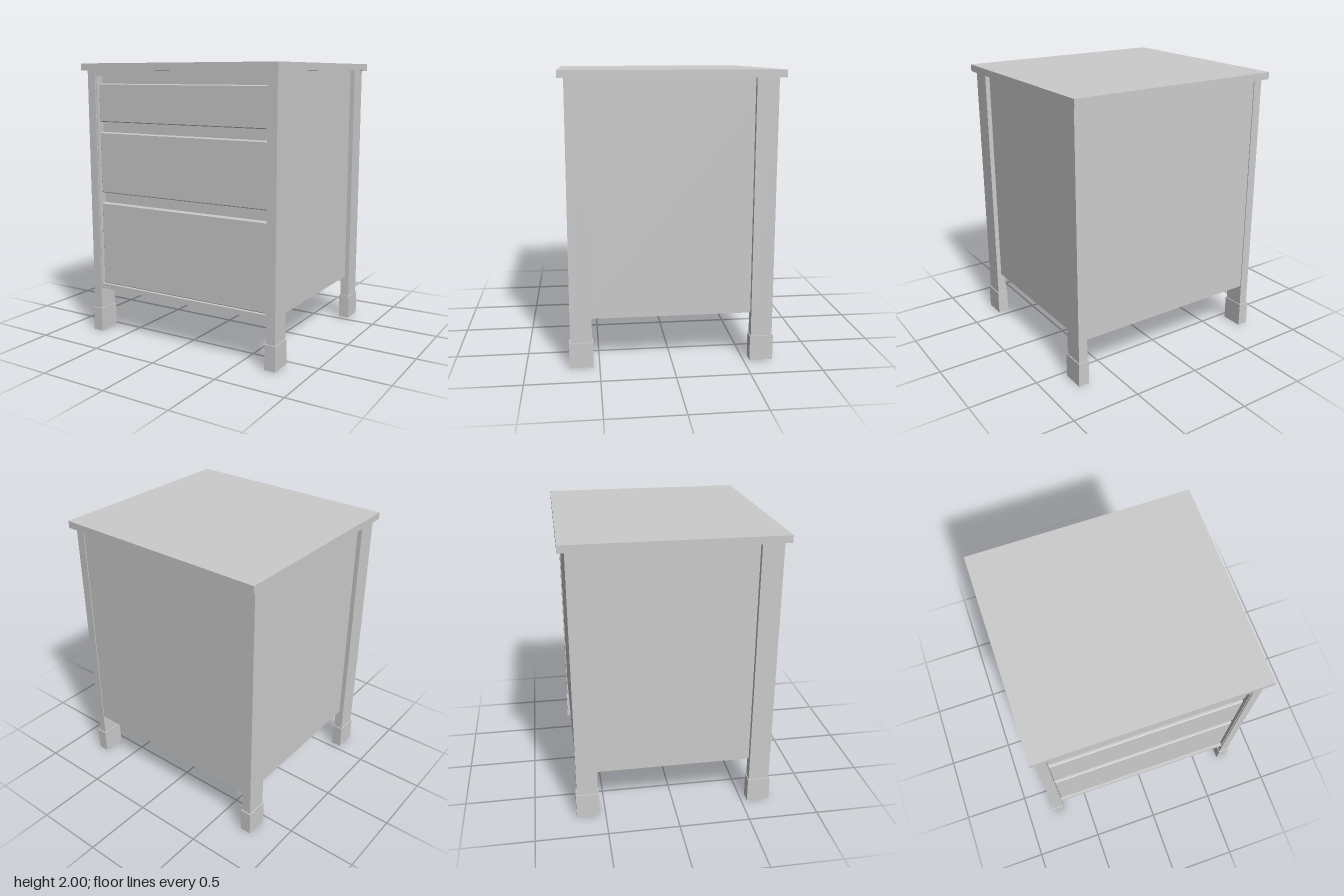
import * as THREE from 'three';

const material = new THREE.MeshStandardMaterial({ color: 0xcccccc, flatShading: true });

// Box given by its extents on each axis
function box(name, [x0, x1], [y0, y1], [z0, z1]) {
  const mesh = new THREE.Mesh(new THREE.BoxGeometry(x1 - x0, y1 - y0, z1 - z0), material);
  mesh.name = name;
  mesh.position.set((x0 + x1) / 2, (y0 + y1) / 2, (z0 + z1) / 2);
  return mesh;
}

// Drawer front: a slab with a fine chamfer round its face
function drawerFront(name, y0, y1) {
  const half = 0.697, bevel = 0.006, back = 0.6, front = 0.67;
  const shape = new THREE.Shape();
  shape.moveTo(-half + bevel, y0 + bevel);
  shape.lineTo(half - bevel, y0 + bevel);
  shape.lineTo(half - bevel, y1 - bevel);
  shape.lineTo(-half + bevel, y1 - bevel);
  shape.closePath();
  const geometry = new THREE.ExtrudeGeometry(shape, {
    depth: front - back - 2 * bevel, bevelEnabled: true,
    bevelSize: bevel, bevelThickness: bevel, bevelSegments: 1,
  });
  geometry.translate(0, 0, back + bevel);
  const mesh = new THREE.Mesh(geometry, material);
  mesh.name = name;
  return mesh;
}

export function createModel() {
  const cabinet = new THREE.Group();
  cabinet.name = 'drawerCabinet';

  // Top and carcass; the carcass front shows as recessed rails between drawers
  cabinet.add(box('top', [-0.797, 0.797], [1.95, 2], [-0.743, 0.74]));
  cabinet.add(box('carcass', [-0.74, 0.74], [0.335, 1.95], [-0.692, 0.63]));

  // Front rails above and below the drawers
  cabinet.add(box('upperRail', [-0.71, 0.71], [1.912, 1.95], [0.62, 0.69]));
  cabinet.add(box('lowerRail', [-0.71, 0.71], [0.335, 0.372], [0.62, 0.69]));

  // Drawer fronts, each deeper than the one above
  cabinet.add(drawerFront('topDrawer', 1.583, 1.857));
  cabinet.add(drawerFront('middleDrawer', 1.063, 1.507));
  cabinet.add(drawerFront('bottomDrawer', 0.372, 0.985));

  // Corner legs with slightly wider feet
  for (const x of [-1, 1]) {
    for (const z of [-1, 1]) {
      const side = `${z > 0 ? 'front' : 'back'}${x > 0 ? 'Left' : 'Right'}`;
      const span = (s, a, b) => (s > 0 ? [a, b] : [-b, -a]);
      cabinet.add(box(`${side}Leg`, span(x, 0.706, 0.773), [0.17, 1.95], span(z, 0.55, 0.698)));
      cabinet.add(box(`${side}Foot`, span(x, 0.7, 0.78), [0, 0.177], span(z, 0.543, 0.706)));
    }
    // Narrow stiles closing the gap between legs and drawers
    cabinet.add(box(x > 0 ? 'leftStile' : 'rightStile',
      x > 0 ? [0.698, 0.72] : [-0.72, -0.698], [0.335, 1.95], [0.6, 0.69]));
  }
  return cabinet;
}
